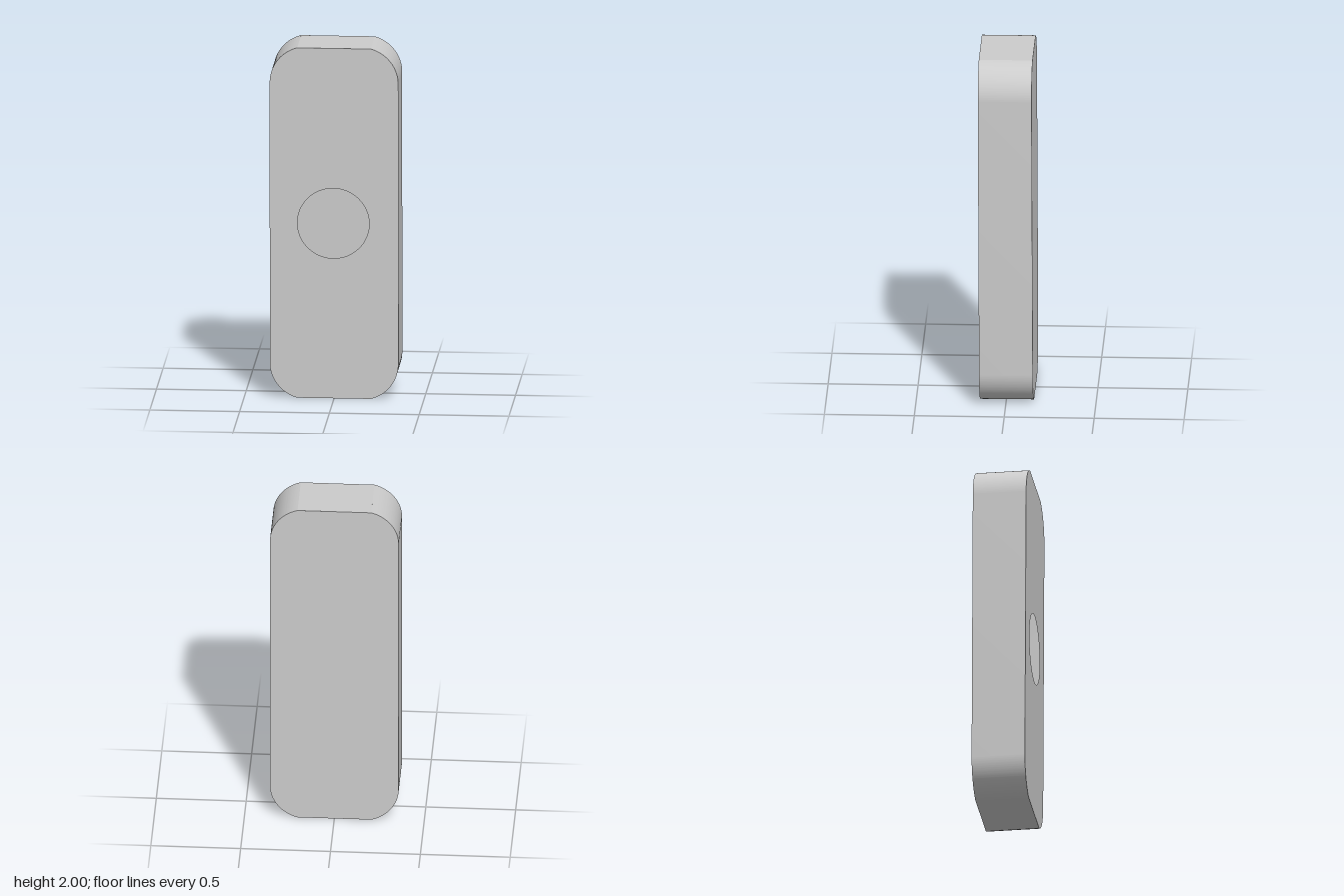
import * as THREE from 'three';
import { toCreasedNormals } from 'three/addons/utils/BufferGeometryUtils.js';

const HALF_W = 0.358, HALF_H = 1, DEPTH = 0.299;
const CORNER_R = 0.2075, FLAT_X = 0.205, SIDE_Y = 0.8;
const HOLE_R = 0.2, HOLE_X = -0.004;
const LEAN = 0.0043;

// Rounded plate outline; the corner arcs meet the flat ends at a slight angle
function outline() {
  const cx = HALF_W - CORNER_R;
  const end = Math.atan2(HALF_H - SIDE_Y, FLAT_X - cx);
  const shape = new THREE.Shape();
  shape.moveTo(HALF_W, -SIDE_Y);
  shape.lineTo(HALF_W, SIDE_Y);
  shape.absarc(cx, SIDE_Y, CORNER_R, 0, end, false);
  shape.lineTo(-FLAT_X, HALF_H);
  shape.absarc(-cx, SIDE_Y, CORNER_R, Math.PI - end, Math.PI, false);
  shape.lineTo(-HALF_W, -SIDE_Y);
  shape.absarc(-cx, -SIDE_Y, CORNER_R, Math.PI, Math.PI + end, false);
  shape.lineTo(FLAT_X, -HALF_H);
  shape.absarc(cx, -SIDE_Y, CORNER_R, -end, 0, false);
  return shape;
}

// Band that follows the outline from back to front
function rimGeometry(points) {
  const positions = [], index = [], n = points.length;
  for (const p of points) positions.push(p.x, p.y, DEPTH / 2, p.x, p.y, -DEPTH / 2);
  for (let i = 0; i < n; i++) {
    const a = 2 * i, b = 2 * ((i + 1) % n);
    index.push(a, a + 1, b, b, a + 1, b + 1);
  }
  const geometry = new THREE.BufferGeometry();
  geometry.setAttribute('position', new THREE.Float32BufferAttribute(positions, 3));
  geometry.setIndex(index);
  return toCreasedNormals(geometry, 0.2);
}

export function createModel() {
  const model = new THREE.Group();
  model.name = 'hollowPlate';
  const material = new THREE.MeshStandardMaterial({ color: 0xcccccc, side: THREE.DoubleSide });

  const shell = new THREE.Group();
  shell.name = 'shell';
  shell.position.y = HALF_H;
  shell.rotation.x = LEAN; // slight forward lean
  model.add(shell);

  const add = (name, geometry) => {
    const mesh = new THREE.Mesh(geometry, material);
    mesh.name = name;
    shell.add(mesh);
    return mesh;
  };

  // Front sheet with the round opening into the hollow inside
  const frontShape = outline();
  const hole = new THREE.Path();
  hole.absarc(HOLE_X, 0, HOLE_R, 0, Math.PI * 2, true);
  frontShape.holes.push(hole);
  add('frontPanel', new THREE.ShapeGeometry(frontShape, 24)).position.z = DEPTH / 2;

  // Closed back sheet
  const back = add('backPanel', new THREE.ShapeGeometry(outline(), 24));
  back.rotation.y = Math.PI;
  back.position.z = -DEPTH / 2;

  // Side wall, without repeated points
  const points = outline().getPoints(24).filter((p, i, all) =>
    p.distanceTo(all[(i + 1) % all.length]) > 1e-5);
  add('sideWall', rimGeometry(points));

  return model;
}
